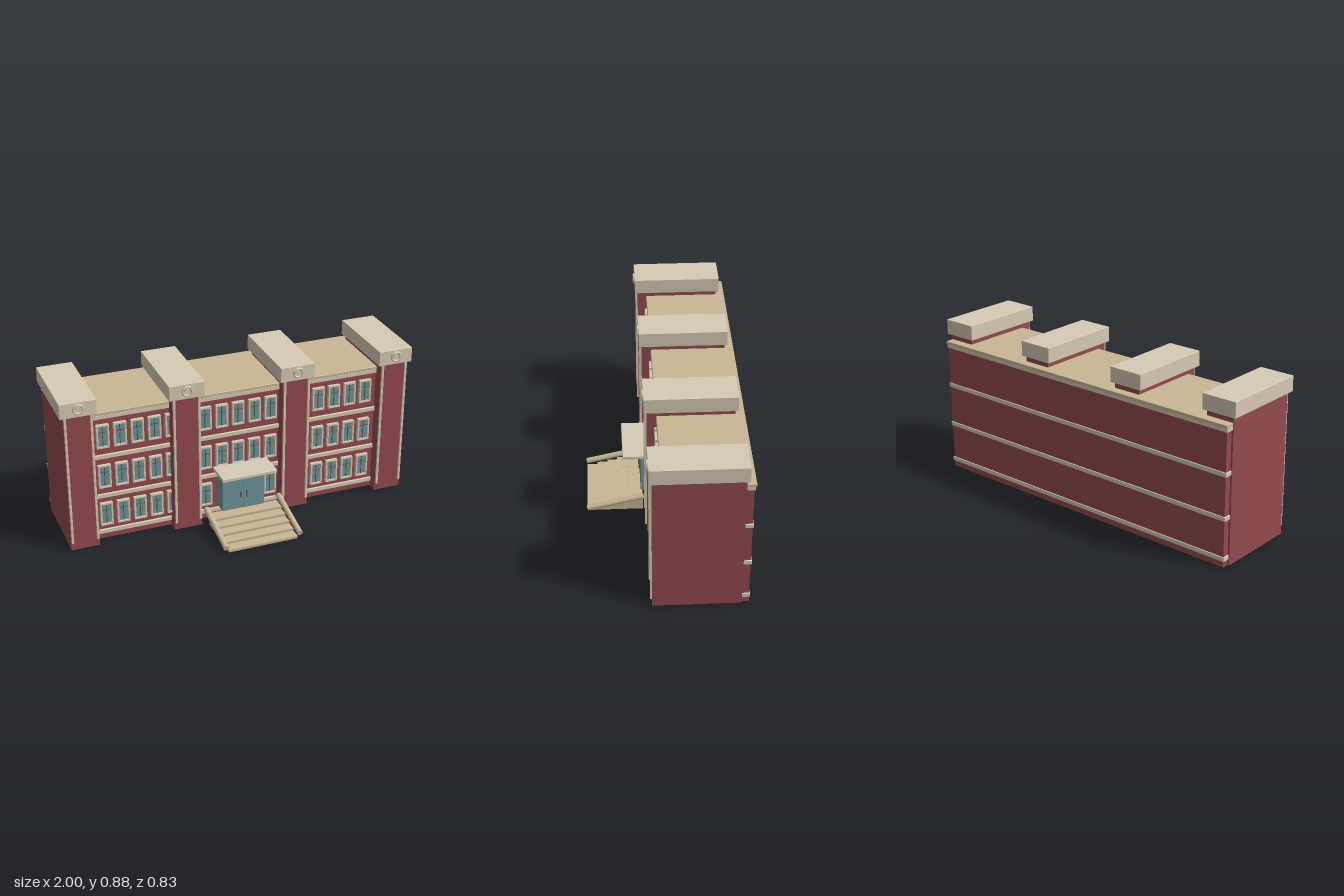
import * as THREE from 'three';
import { RoundedBoxGeometry } from 'three/addons/geometries/RoundedBoxGeometry.js';

const paint = (color) => new THREE.MeshStandardMaterial({ color });
const brick = paint(0x934a4e);
const stone = paint(0xd6cbb4);
const tan = paint(0xc8b795);
const glass = paint(0x6f9499);
const dark = paint(0x5a5a55);

function add(parent, name, geometry, material, x = 0, y = 0, z = 0) {
  const mesh = new THREE.Mesh(geometry, material);
  mesh.name = name;
  mesh.position.set(x, y, z);
  parent.add(mesh);
  return mesh;
}

// Box given by its limits on each axis; bevel rounds the edges slightly
function box(parent, name, material, [x0, x1], [y0, y1], [z0, z1], bevel = 0) {
  const size = [x1 - x0, y1 - y0, z1 - z0];
  const geometry = bevel
    ? new RoundedBoxGeometry(...size, 2, bevel)
    : new THREE.BoxGeometry(...size);
  return add(parent, name, geometry, material, (x0 + x1) / 2, (y0 + y1) / 2, (z0 + z1) / 2);
}

function rectangle(path, w, h) {
  path.moveTo(-w / 2, -h / 2);
  path.lineTo(w / 2, -h / 2);
  path.lineTo(w / 2, h / 2);
  path.lineTo(-w / 2, h / 2);
  path.closePath();
  return path;
}

const WALL = 0.03; // front of the main wall

// Main block, floor bands and roof
function createBody() {
  const body = new THREE.Group();
  body.name = 'mainBlock';
  box(body, 'brickBody', brick, [-0.97, 0.97], [0, 0.75], [-0.405, WALL]);
  for (const y of [0.033, 0.253, 0.49, 0.725]) {
    box(body, 'floorBand', stone, [-0.976, 0.976], [y, y + 0.025], [-0.41, 0.04], 0.003);
  }
  box(body, 'roofSlab', tan, [-0.977, 0.977], [0.748, 0.765], [-0.416, 0.04], 0.003);
  return body;
}

// Tower with corner strips, overhanging cap and round medallion
function createTower(x) {
  const tower = new THREE.Group();
  tower.name = 'tower';
  tower.position.x = x;
  box(tower, 'towerShaft', brick, [-0.079, 0.079], [0, 0.8], [-0.368, 0.09]);
  for (const s of [-1, 1]) {
    box(tower, 'cornerStrip', stone, [s * 0.07 - 0.006, s * 0.07 + 0.006], [0.045, 0.797], [0.085, 0.1]);
  }
  box(tower, 'towerCap', stone, [-0.099, 0.099], [0.795, 0.88], [-0.382, 0.106], 0.002);
  add(tower, 'medallionRing', new THREE.TorusGeometry(0.025, 0.006, 8, 28), stone, 0, 0.841, 0.109);
  const disc = add(tower, 'medallionDisc', new THREE.CylinderGeometry(0.016, 0.016, 0.008, 24), stone, 0, 0.841, 0.109);
  disc.rotation.x = Math.PI / 2;
  return tower;
}

// Framed window with glazing bars
const frameShape = rectangle(new THREE.Shape(), 0.07, 0.136);
frameShape.holes.push(rectangle(new THREE.Path(), 0.052, 0.118));
const frameGeometry = new THREE.ExtrudeGeometry(frameShape, { depth: 0.02, bevelEnabled: false });

function createWindow(x, y) {
  const unit = new THREE.Group();
  unit.name = 'window';
  unit.position.set(x, y, WALL);
  add(unit, 'windowFrame', frameGeometry, stone);
  add(unit, 'windowGlass', new THREE.BoxGeometry(0.056, 0.122, 0.01), glass, 0, 0, 0.004);
  add(unit, 'verticalBar', new THREE.BoxGeometry(0.004, 0.12, 0.005), dark, 0, 0, 0.01);
  add(unit, 'horizontalBar', new THREE.BoxGeometry(0.054, 0.003, 0.005), dark, 0, 0.022, 0.01);
  return unit;
}

function createWindows() {
  const windows = new THREE.Group();
  windows.name = 'windows';
  [0.157, 0.388, 0.627].forEach((y, floor) => {
    for (let k = -8; k <= 8; k++) {
      const behindTower = Math.abs(k) === 3;
      const behindDoor = floor === 0 && Math.abs(k) <= 1;
      if (!behindTower && !behindDoor) windows.add(createWindow(k * 0.0948 - 0.005, y));
    }
  });
  return windows;
}

// Double door, canopy, stairs and handrails
function createEntrance() {
  const entrance = new THREE.Group();
  entrance.name = 'entrance';
  box(entrance, 'doorBacking', glass, [-0.122, 0.122], [0.07, 0.308], [WALL, 0.104]);
  for (const s of [-1, 1]) {
    const leaf = box(entrance, 'doorLeaf', glass, [-0.0615, 0.0615], [0.072, 0.31], [0.1, 0.114], 0.002);
    leaf.position.x = s * 0.0625;
    box(entrance, 'doorHandle', dark, [s * 0.018 - 0.003, s * 0.018 + 0.003], [0.143, 0.18], [0.112, 0.122]);
  }
  box(entrance, 'canopy', stone, [-0.158, 0.158], [0.311, 0.331], [0.055, 0.213], 0.003);

  const rise = 0.0145;
  for (let i = 0; i < 5; i++) {
    box(entrance, 'step', tan, [-0.2, 0.2], [i * rise, (i + 1) * rise], [0.105, 0.412 - i * 0.058]);
  }

  const low = new THREE.Vector3(0, 0.029, 0.412);
  const high = new THREE.Vector3(0, 0.1, 0.102);
  const along = high.clone().sub(low);
  for (const s of [-1, 1]) {
    const rail = add(entrance, 'handrail', new THREE.CylinderGeometry(0.016, 0.016, along.length(), 20), tan);
    rail.position.copy(low).add(high).multiplyScalar(0.5).setX(s * 0.214);
    rail.quaternion.setFromUnitVectors(new THREE.Vector3(0, 1, 0), along.clone().normalize());
  }
  return entrance;
}

export function createModel() {
  const building = new THREE.Group();
  building.name = 'building';
  building.add(createBody(), createWindows(), createEntrance());
  for (const x of [-0.901, -0.315, 0.315, 0.901]) building.add(createTower(x));
  return building;
}
